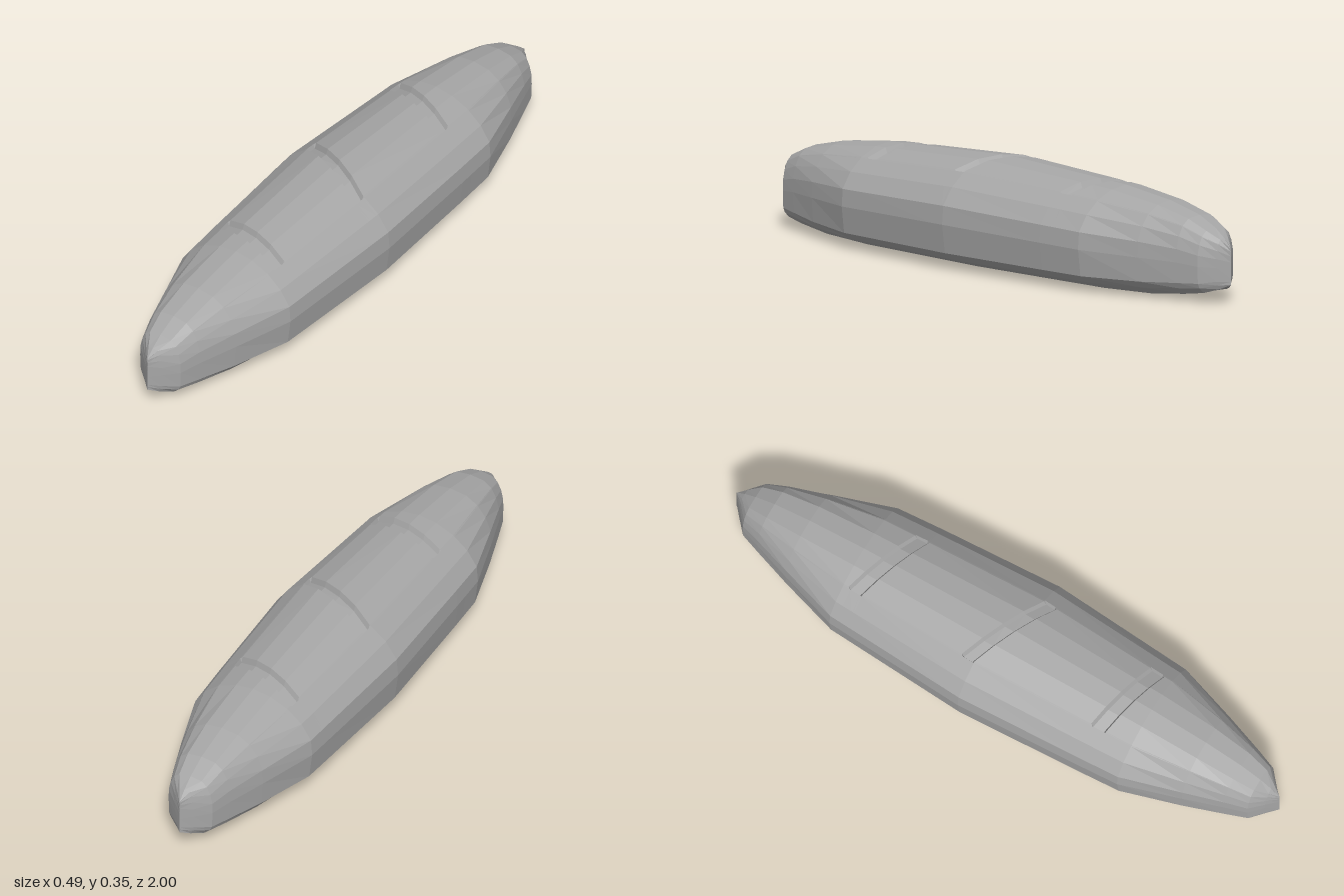
import * as THREE from 'three';

// Outline by distance from the middle: [z, half width, bottom, top]
const OUTLINE = [
  [0, 0.25, 0, 0.347], [0.53, 0.215, 0.002, 0.322], [0.73, 0.15, 0.008, 0.298],
  [0.86, 0.105, 0.022, 0.268], [0.93, 0.08, 0.032, 0.236], [0.97, 0.035, 0.045, 0.208], [1, 0, 0.06, 0.18],
];
// Half cross-section from bottom to top: [width share, height share, 1 if inside a slash]
const HALF = [
  [0, 0.008, 0], [0.45, 0, 0], [0.8, 0.085, 0], [0.95, 0.16, 0], [1, 0.43, 0], [0.98, 0.605, 0],
  [0.82, 0.765, 0], [0.6, 0.885, 0], [0.58, 0.895, 1], [0.29, 0.975, 1], [0, 1, 1],
];
const RING = [...HALF, ...HALF.slice(1, -1).reverse().map(([u, v, s]) => [-u, v, s])];
// Slashes across the crust: [centre z, slope, half width]
const SLASHES = [[-0.44, 0.32, 0.026], [0.005, 0.46, 0.024], [0.443, 0.22, 0.027]];
const DEPTH = 0.018;

function outlineAt(z) {
  const d = Math.min(Math.abs(z), 1);
  let i = 0;
  while (i < OUTLINE.length - 2 && d > OUTLINE[i + 1][0]) i++;
  const [a, b] = [OUTLINE[i], OUTLINE[i + 1]];
  const k = (d - a[0]) / (b[0] - a[0]);
  return a.map((n, j) => n + (b[j] - n) * k);
}

function createLoafGeometry() {
  // Plain stations at the ends, four skewed stations for each slash
  const ends = OUTLINE.slice(1).map((o) => ({ z: o[0], slope: 0, cut: 0 }));
  const slashes = SLASHES.flatMap(([z, slope, h]) => [
    { z: z - h, slope, cut: 0 }, { z: z - h + 0.008, slope, cut: DEPTH },
    { z: z + h - 0.008, slope, cut: DEPTH }, { z: z + h, slope, cut: 0 },
  ]);
  const stations = [...ends.map((s) => ({ ...s, z: -s.z })).reverse(), ...slashes, ...ends];

  const positions = [];
  for (const { z, slope, cut } of stations) {
    for (const [u, v, inSlash] of RING) {
      const pz = z + slope * THREE.MathUtils.clamp(u * 0.25, -0.145, 0.145);
      const [d, w, bottom, top] = outlineAt(pz);
      // Sections grow squarer towards the tips
      const power = 1 - 0.45 * THREE.MathUtils.smoothstep(d, 0.5, 0.95);
      const x = Math.sign(u) * Math.pow(Math.abs(u), power) * w;
      positions.push(x, bottom + v * (top - bottom) - (inSlash ? cut : 0), pz);
    }
  }

  const n = RING.length;
  const index = [];
  for (let i = 0; i < stations.length - 1; i++) {
    for (let j = 0; j < n; j++) {
      const k = (j + 1) % n;
      const [a, b, c, d] = [i * n + j, i * n + k, (i + 1) * n + k, (i + 1) * n + j];
      index.push(a, b, c, a, c, d);
    }
  }
  const indexed = new THREE.BufferGeometry();
  indexed.setAttribute('position', new THREE.Float32BufferAttribute(positions, 3));
  indexed.setIndex(index);
  const geometry = indexed.toNonIndexed();
  geometry.computeVertexNormals(); // unshared corners give flat facets
  return geometry;
}

export function createModel() {
  const crust = new THREE.MeshStandardMaterial({ color: 0xa6a6a6 });
  crust.name = 'crust grey';
  crust.flatShading = true;

  const loaf = new THREE.Mesh(createLoafGeometry(), crust);
  loaf.name = 'loaf';

  const model = new THREE.Group();
  model.name = 'breadLoaf';
  model.add(loaf);
  return model;
}
